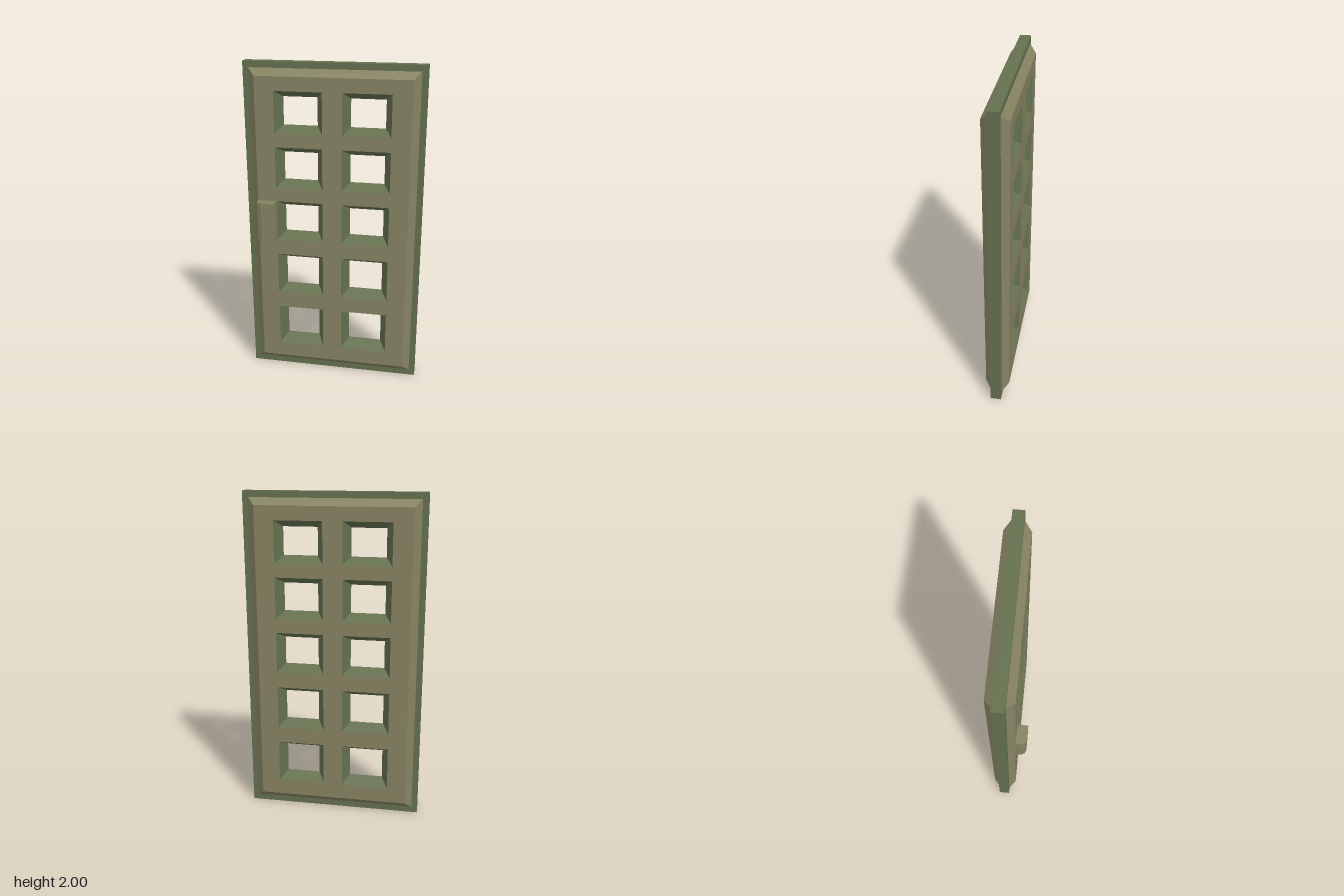
import * as THREE from 'three';
import { mergeGeometries } from 'three/addons/utils/BufferGeometryUtils.js';

const FRONT = 0.042, SLAB_FRONT = 0, SLAB_BACK = -0.067, BACK = -0.108;
const MID = (FRONT + BACK) / 2;

// Rectangles are [left, bottom, right, top]
const SLAB = [-0.54, 0, 0.54, 2];
const PANEL_BASE = [-0.505, 0.037, 0.505, 1.963];
const PANEL_FACE = [-0.463, 0.079, 0.463, 1.921];
const ROWS = [[0.177, 0.444], [0.546, 0.813], [0.912, 1.164], [1.25, 1.503], [1.587, 1.837]];
const OPENINGS = ROWS.flatMap(([y0, y1]) => [[-0.348, y0, -0.059, y1], [0.059, y0, 0.348, y1]]);

const corners = ([l, b, r, t]) => [[l, b], [r, b], [r, t], [l, t]];
const inset = ([l, b, r, t], d) => [l + d, b + d, r - d, t - d];

function rectShape(rect, holes = []) {
  const points = (r) => corners(r).map(([x, y]) => new THREE.Vector2(x, y));
  const shape = new THREE.Shape(points(rect));
  holes.forEach((h) => shape.holes.push(new THREE.Path(points(h).reverse())));
  return shape;
}

// Four flat sides joining one rectangle to another
function ring(rectA, zA, rectB, zB) {
  const a = corners(rectA).map((p) => [...p, zA]);
  const b = corners(rectB).map((p) => [...p, zB]);
  const pos = [];
  for (let i = 0; i < 4; i++) {
    const j = (i + 1) % 4;
    pos.push(...a[i], ...a[j], ...b[j], ...a[i], ...b[j], ...b[i]);
  }
  const g = new THREE.BufferGeometry();
  g.setAttribute('position', new THREE.Float32BufferAttribute(pos, 3));
  g.computeVertexNormals();
  return g;
}

function panelFace(z, back) {
  const g = new THREE.ShapeGeometry(rectShape(PANEL_FACE, OPENINGS)).toNonIndexed();
  g.deleteAttribute('uv');
  if (back) g.rotateY(Math.PI);
  return g.translate(0, 0, z);
}

export function createModel() {
  const group = new THREE.Group();
  const green = new THREE.MeshStandardMaterial({ color: 0x64704f, flatShading: true });
  const olive = new THREE.MeshStandardMaterial({ color: 0x858262, flatShading: true });
  const add = (name, geometry, material) => {
    const mesh = new THREE.Mesh(geometry, material);
    mesh.name = name;
    group.add(mesh);
  };

  // Thin outer frame
  const frame = new THREE.ExtrudeGeometry(rectShape(SLAB, [PANEL_BASE]), {
    depth: SLAB_FRONT - SLAB_BACK, bevelEnabled: false,
  });
  add('outerFrame', frame.translate(0, 0, SLAB_BACK), green);

  // Raised panels with sloping borders on both sides
  add('frontPanel', mergeGeometries([
    panelFace(FRONT, false), ring(PANEL_BASE, SLAB_FRONT, PANEL_FACE, FRONT),
  ]), olive);
  add('backPanel', mergeGeometries([
    panelFace(BACK, true), ring(PANEL_FACE, BACK, PANEL_BASE, SLAB_BACK),
  ]), olive);

  // Openings, narrowing to the middle of the thickness
  OPENINGS.forEach((rect, i) => {
    const narrow = inset(rect, 0.041);
    add(`openingLining${i + 1}`, mergeGeometries([
      ring(rect, FRONT, narrow, MID), ring(narrow, MID, rect, BACK),
    ]), green);
  });

  // Handle block with a chamfered outer edge, drawn in plan and extruded upwards
  const plan = [[-0.465, 0.04], [-0.348, 0.04], [-0.348, 0.105], [-0.43, 0.105], [-0.455, 0.095], [-0.465, 0.07]];
  const handle = new THREE.ExtrudeGeometry(
    new THREE.Shape(plan.map(([x, z]) => new THREE.Vector2(x, -z))),
    { depth: 0.25, bevelEnabled: false });
  add('handle', handle.rotateX(-Math.PI / 2).translate(0, 0.914, 0), olive);

  return group;
}
